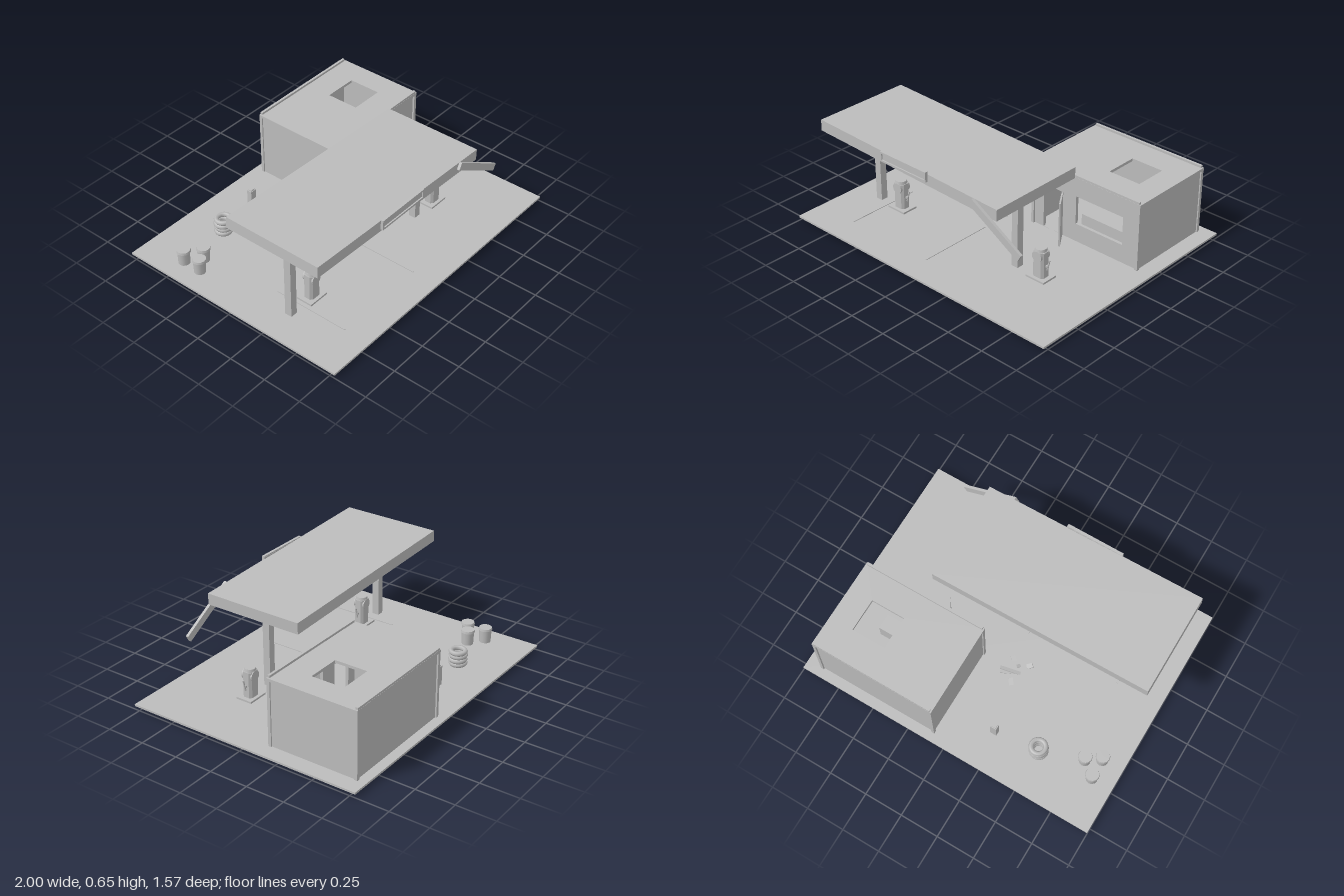
import * as THREE from 'three';

export function createModel() {
  const model = new THREE.Group();
  model.name = 'abandonedFuelStation';
  const grey = new THREE.MeshStandardMaterial({ color: 0xbcbcbc });
  grey.name = 'plainGrey';
  const G = 0.036; // ground level

  function add(name, geometry, x, y, z, parent = model) {
    const mesh = new THREE.Mesh(geometry, grey);
    mesh.name = name;
    mesh.position.set(x, y, z);
    parent.add(mesh);
    return mesh;
  }
  const box = (name, w, h, d, x, y, z, parent) =>
    add(name, new THREE.BoxGeometry(w, h, d), x, y, z, parent);
  // box given by its lower and upper limits
  const span = (name, x0, x1, y0, y1, z0, z1, parent) =>
    box(name, x1 - x0, y1 - y0, z1 - z0, (x0 + x1) / 2, (y0 + y1) / 2, (z0 + z1) / 2, parent);
  // rectangular panel with rectangular holes, each [x0, y0, x1, y1]
  function panel(outer, holes, depth) {
    const trace = (path, [x0, y0, x1, y1]) => {
      path.moveTo(x0, y0);
      path.lineTo(x1, y0);
      path.lineTo(x1, y1);
      path.lineTo(x0, y1);
      path.closePath();
      return path;
    };
    const shape = trace(new THREE.Shape(), outer);
    holes.forEach(h => shape.holes.push(trace(new THREE.Path(), h)));
    return new THREE.ExtrudeGeometry(shape, { depth, bevelEnabled: false });
  }

  // Ground slab and raised lane strips
  span('groundSlab', -1, 1, 0.023, G, -0.785, 0.785);
  for (const x of [-0.7, -0.07]) span('laneStrip', x - 0.004, x + 0.004, G, G + 0.004, 0.11, 0.61);

  // Shop: walls, corner posts, roof with a hole, parapets
  const shop = new THREE.Group();
  shop.name = 'shop';
  model.add(shop);
  add('frontWall', panel([0.1, G, 0.895, 0.455],
    [[0.18, G + 0.001, 0.32, 0.33], [0.43, 0.155, 0.78, 0.34]], 0.02), 0, 0, -0.162, shop);
  span('backWall', 0.1, 0.895, G, 0.455, -0.722, -0.702, shop);
  span('leftWall', 0.877, 0.897, G, 0.455, -0.72, -0.142, shop);
  span('rightWall', 0.098, 0.118, G, 0.455, -0.72, -0.142, shop);
  for (const x of [0.1, 0.895])
    for (const z of [-0.14, -0.722]) box('cornerPost', 0.02, 0.42, 0.02, x, G + 0.21, z, shop);
  const roof = add('roof', panel([0.088, 0.13, 0.908, 0.732], [[0.53, 0.32, 0.75, 0.535]], 0.018), 0, 0.455, 0, shop);
  roof.rotation.x = -Math.PI / 2;
  for (const z of [-0.139, -0.723]) span('parapet', 0.098, 0.898, 0.455, 0.487, z - 0.008, z + 0.008, shop);
  span('counter', 0.38, 0.71, G, 0.15, -0.36, -0.26, shop);

  // Door hanging open
  const door = new THREE.Group();
  door.name = 'openDoor';
  door.position.set(0.328, 0, -0.137);
  door.rotation.y = -0.97;
  shop.add(door);
  span('doorLeaf', 0, 0.135, G + 0.003, 0.33, -0.005, 0.005, door);

  // Sagging canopy on two posts
  box('canopy', 1.436, 0.073, 0.655, -0.216, 0.594, 0.2875).rotation.z = -0.035;
  span('canopyPost', -0.812, -0.766, G, 0.57, 0.264, 0.311);
  span('canopyPost', 0.334, 0.38, G, 0.55, 0.264, 0.311);

  // Sign box with a raised frame, and the loose fascia board
  span('signPanel', -0.395, -0.035, 0.583, 0.635, 0.612, 0.624);
  add('signFrame', panel([-0.402, 0.577, -0.03, 0.641], [[-0.39, 0.589, -0.042, 0.629]], 0.018), 0, 0, 0.614);
  box('looseFascia', 0.422, 0.047, 0.018, 0.5, 0.487, 0.624).rotation.z = -0.532;

  // Fuel pumps
  for (const x of [-0.607, 0.537]) {
    const pump = new THREE.Group();
    pump.name = 'fuelPump';
    pump.position.set(x, G, 0.287);
    model.add(pump);
    box('pumpBase', 0.138, 0.012, 0.108, 0, 0.006, 0, pump);
    const c = 0.014, w = 0.041, d = 0.033;
    const outline = new THREE.Shape([[-w + c, -d], [w - c, -d], [w, -d + c], [w, d - c],
      [w - c, d], [-w + c, d], [-w, d - c], [-w, -d + c]].map(p => new THREE.Vector2(...p)));
    const body = add('pumpBody', new THREE.ExtrudeGeometry(outline, { depth: 0.168, bevelEnabled: false }), 0, 0.012, 0, pump);
    body.rotation.x = -Math.PI / 2;
    add('pumpCap', new THREE.CylinderGeometry(0.034, 0.038, 0.018, 16), 0, 0.189, 0, pump);
    const dial = add('pumpDial', new THREE.CylinderGeometry(0.035, 0.035, 0.076, 20), 0, 0.15, 0, pump);
    dial.rotation.x = Math.PI / 2;
    // nozzle resting in a holder on the side
    box('nozzleHolder', 0.016, 0.012, 0.014, 0.046, 0.09, 0, pump);
    box('nozzle', 0.007, 0.075, 0.007, 0.057, 0.1, 0, pump).rotation.z = -0.25;
  }

  // Stack of tyres
  for (let i = 0; i < 4; i++) {
    const tyre = add('tyre', new THREE.TorusGeometry(0.044, 0.0155, 6, 20),
      -0.503 + (i % 2 ? 0.002 : -0.002), G + 0.0135 + i * 0.0265, -0.503);
    tyre.rotation.x = Math.PI / 2;
  }

  // Three lidded bins
  for (const [x, z] of [[-0.86, -0.486], [-0.77, -0.412], [-0.86, -0.358]]) {
    const bin = new THREE.Group();
    bin.name = 'bin';
    bin.position.set(x, G, z);
    model.add(bin);
    add('binBody', new THREE.CylinderGeometry(0.039, 0.036, 0.086, 12), 0, 0.043, 0, bin);
    add('binLid', new THREE.CylinderGeometry(0.041, 0.044, 0.014, 12), 0, 0.091, 0, bin);
  }

  // Short standing cabinet with a narrower top
  span('cabinet', -0.237, -0.195, G, 0.163, -0.552, -0.518);
  span('cabinetTop', -0.231, -0.201, 0.163, 0.17, -0.547, -0.523);

  // Rubble: tilted planks and chips half sunk into the slab
  const rubble = [
    [0.215, 0.008, 0.02, -0.14, 0.039, -0.145, 0.3, 0.3],
    [0.17, 0.006, 0.018, -0.125, 0.034, -0.155, 0.45, 0.1],
    [0.05, 0.01, 0.028, -0.14, 0.036, -0.215, -0.9, 0.25],
    [0.045, 0.01, 0.03, -0.185, 0.036, -0.07, 0.7, -0.3],
    [0.045, 0.01, 0.03, -0.08, 0.036, -0.078, -0.7, 0.3],
    [0.035, 0.01, 0.02, -0.13, 0.034, -0.1, 0.9, 0.35],
  ];
  for (const [w, h, d, x, y, z, yaw, tilt] of rubble)
    box('rubblePiece', w, h, d, x, y, z).rotation.set(0, yaw, tilt, 'YZX');

  return model;
}
